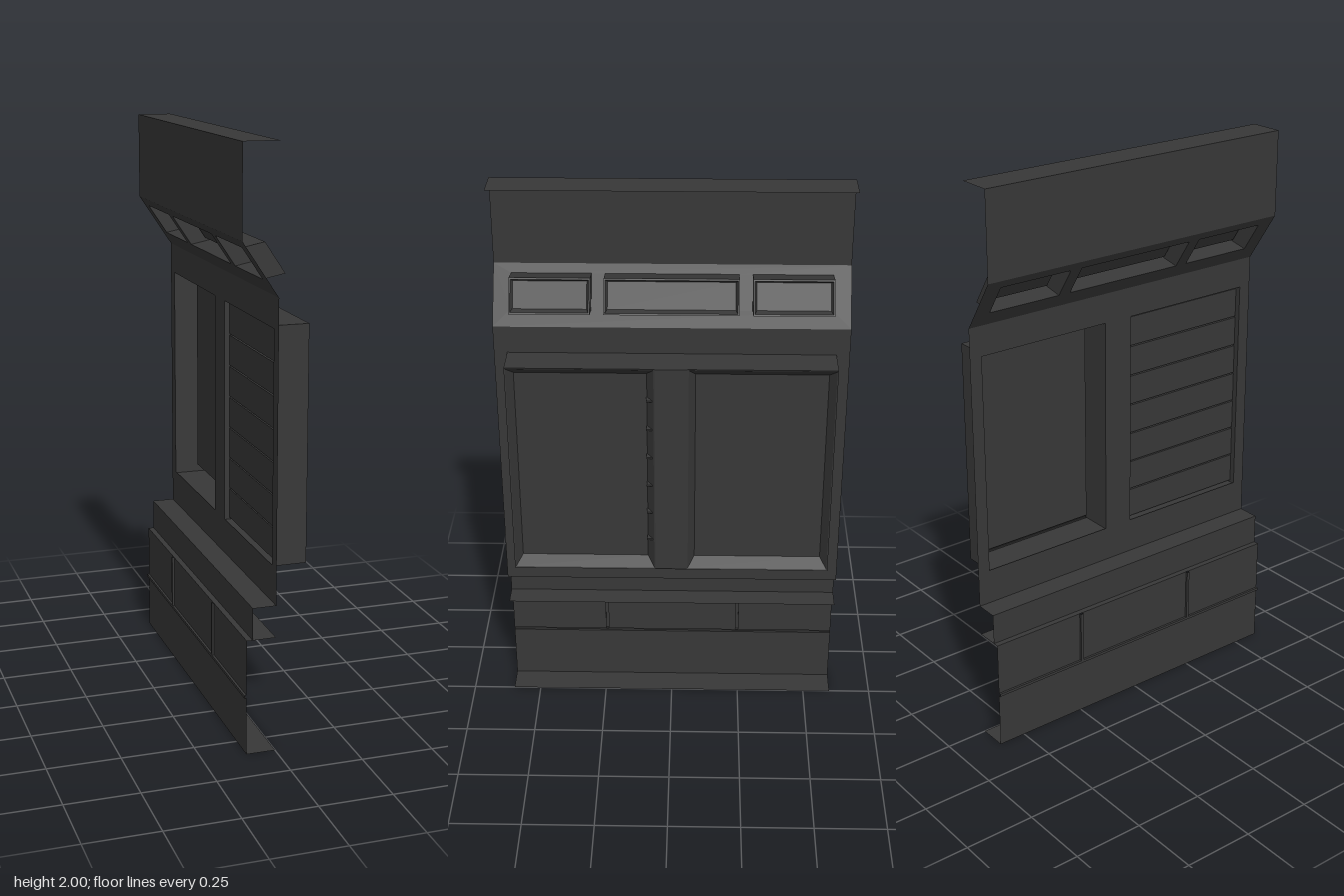
import * as THREE from 'three';

const material = new THREE.MeshStandardMaterial({ color: 0x383838, side: THREE.DoubleSide, flatShading: true });
const HALF = 0.6; // half width of the wall along z

// Mappings from (across z, height, depth) to space
const upright = (z, v, d) => [d, v, z];
const sloped = (z, v, d) => [-0.12 * (v - 1.52) / 0.18 + 0.075 * d, v + 0.015 * d, z];

function mesh(name, geometry) {
  const m = new THREE.Mesh(geometry, material);
  m.name = name;
  return m;
}

function fromQuads(name, quads) {
  const pos = [];
  for (const [a, b, c, d] of quads) pos.push(...a, ...b, ...c, ...a, ...c, ...d);
  const g = new THREE.BufferGeometry();
  g.setAttribute('position', new THREE.Float32BufferAttribute(pos, 3));
  g.computeVertexNormals();
  return mesh(name, g);
}

// Open sheet: an (x, y) profile swept along z
function sheet(name, profile, z0 = -HALF, z1 = HALF) {
  return fromQuads(name, profile.slice(1).map(([x, y], i) => {
    const [px, py] = profile[i];
    return [[px, py, z0], [px, py, z1], [x, y, z1], [x, y, z0]];
  }));
}

const corners = ([z0, z1, v0, v1]) => [[z1, v0], [z0, v0], [z0, v1], [z1, v1]];

// Rectangular rings [z0, z1, v0, v1, depth] joined in order
function loft(name, rings, map, cap = true) {
  const loops = rings.map((r) => corners(r).map(([z, v]) => map(z, v, r[4])));
  const quads = [];
  for (let i = 1; i < loops.length; i++) {
    for (let k = 0; k < 4; k++) {
      const n = (k + 1) % 4;
      quads.push([loops[i - 1][k], loops[i - 1][n], loops[i][n], loops[i][k]]);
    }
  }
  if (cap) quads.push(loops.at(-1));
  return fromQuads(name, quads);
}

// Flat wall with rectangular openings
function pierced(name, outer, holes, map) {
  const toPoints = (r) => corners(r).map(([z, v]) => new THREE.Vector2(-z, v));
  const shape = new THREE.Shape(toPoints(outer));
  for (const h of holes) shape.holes.push(new THREE.Path(toPoints(h)));
  const g = new THREE.ShapeGeometry(shape);
  const p = g.attributes.position;
  for (let i = 0; i < p.count; i++) p.setXYZ(i, ...map(-p.getX(i), p.getY(i), 0));
  g.computeVertexNormals();
  return mesh(name, g);
}

function box(name, x0, x1, y0, y1, z0, z1) {
  const g = new THREE.BoxGeometry(x1 - x0, y1 - y0, z1 - z0);
  g.translate((x0 + x1) / 2, (y0 + y1) / 2, (z0 + z1) / 2);
  return mesh(name, g);
}

export function createModel() {
  const model = new THREE.Group();
  model.name = 'wallPanel';

  // Upper wall with its top flange
  model.add(sheet('upperWall', [[0, 2], [-0.12, 2], [-0.12, 1.7]]));

  // Sloped band with three raised, recessed vents
  const vents = [[0.27, 0.54], [-0.225, 0.225], [-0.54, -0.27]];
  const [low, high] = [1.57, 1.672];
  model.add(pierced('slopedBand', [-HALF, HALF, 1.52, 1.7], vents.map(([a, b]) => [a, b, low, high]), sloped));
  for (const [a, b] of vents) {
    const e = 0.012;
    model.add(loft('vent', [
      [a, b, low, high, 0],
      [a, b, low, high, 1],
      [a + 0.005, b - 0.005, low + 0.005, high - 0.005, 1],
      [a + e, b - e, low + e, high - e, 0.75],
    ], sloped));
  }

  // Main wall, open behind the two windows
  const windows = [[0.055, 0.555], [-0.555, -0.055]];
  model.add(pierced('mainWall', [-HALF, HALF, 0.51, 1.52],
    windows.map(([a, b]) => [a, b, 0.635, 1.415]), upright));

  // Projecting window housing with centre post
  model.add(loft('windowHousing', [[-0.555, 0.555, 0.63, 1.425, 0], [-0.555, 0.555, 0.63, 1.425, 0.118]], upright, false));
  model.add(box('centrePost', 0, 0.118, 0.632, 1.423, -0.055, 0.055));
  for (const [a, b] of windows) {
    model.add(loft('window', [
      [a, b, 0.63, 1.425, 0.118],
      [a + 0.004, b - 0.004, 0.635, 1.42, 0.116],
      [a + 0.027, b - 0.027, 0.665, 1.39, 0.08],
    ], upright));
  }

  // Slatted shutter behind one window, with guide marks beside the post
  const count = 7;
  const pitch = 0.77 / count;
  for (let i = 0; i < count; i++) {
    const y = 0.64 + i * pitch;
    model.add(box('shutterSlat', 0.018, 0.03, y, y + pitch - 0.005, 0.056, 0.553));
    if (i > 0) model.add(box('shutterGuide', 0.08, 0.108, y - 0.004, y + 0.002, 0.056, 0.084));
  }

  // Stepped ledge under the main wall and the shelf below it
  model.add(sheet('ledge', [[0, 0.51], [-0.08, 0.51], [-0.08, 0.4]]));
  model.add(sheet('shelf', [[0, 0.4], [-0.1, 0.4]]));

  // Tile row: vertical grooves part three tiles
  const g = 0.005;
  const row = [[-HALF, -0.1]];
  for (const z of [-0.245, 0.245]) {
    row.push([z - g, -0.1], [z - g, -0.108], [z + g, -0.108], [z + g, -0.1]);
  }
  row.push([HALF, -0.1]);
  model.add(fromQuads('tileRow', row.slice(1).map(([z, x], i) => {
    const [pz, px] = row[i];
    return [[x, 0.21, z], [px, 0.21, pz], [px, 0.4, pz], [x, 0.4, z]];
  })));

  // Skirting with a horizontal groove above and a foot flange
  model.add(sheet('skirting', [[-0.1, 0.21], [-0.108, 0.21], [-0.108, 0.2], [-0.1, 0.2], [-0.1, 0], [0, 0]]));

  return model;
}
